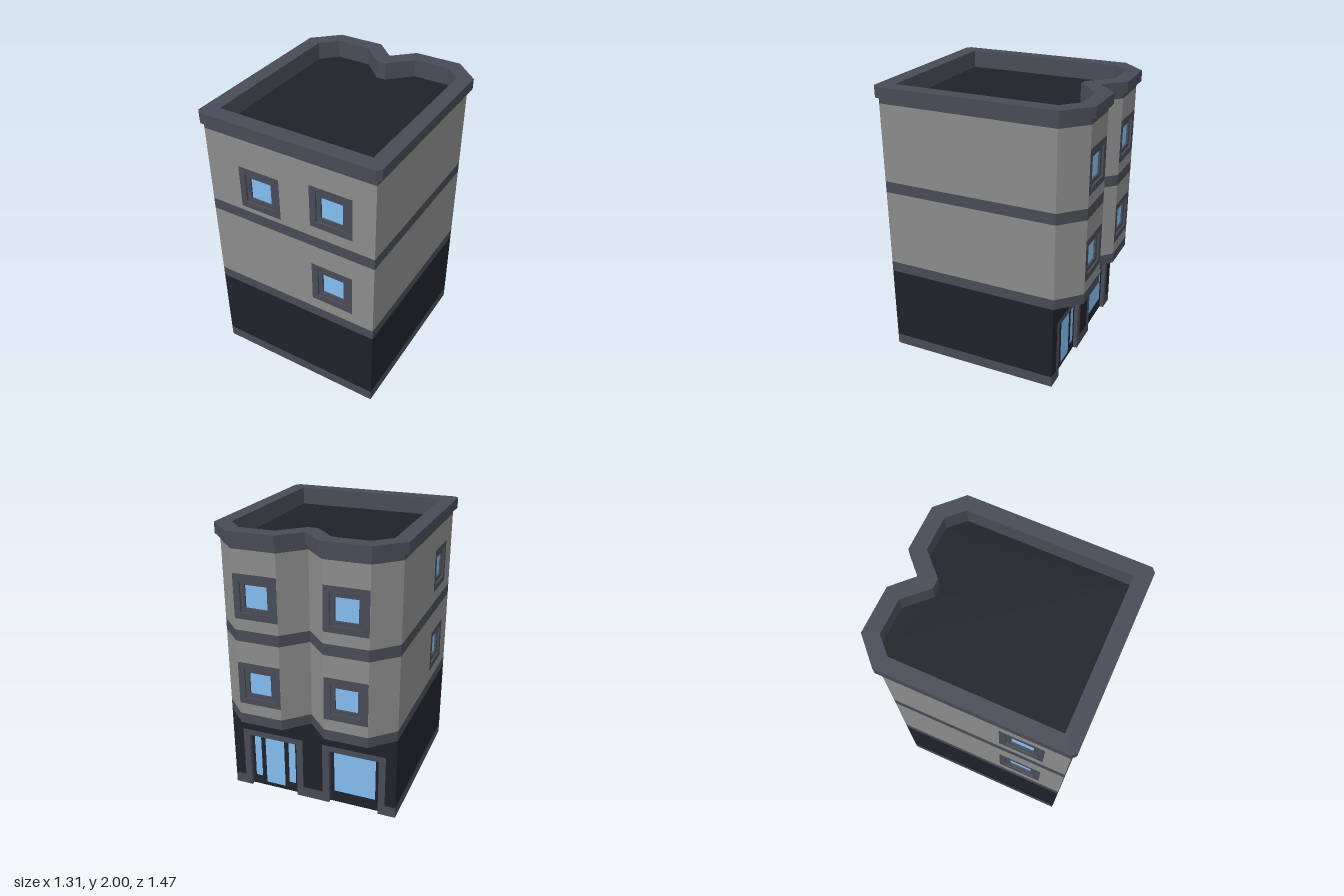
import * as THREE from 'three';

const material = (color) => new THREE.MeshStandardMaterial({ color, flatShading: true });
const WALL = material(0x8b8b8b);
const TRIM = material(0x484b56);
const DARK = material(0x20222a);
const GLASS = material(0x82bdf0);

// Complete an outline from its +x half; runs anticlockwise seen from above.
function mirrored(half) {
  const other = half.filter(([x]) => x > 0).reverse().map(([x, z]) => [-x, z]);
  return [...half, ...other];
}

const HALF = 0.624;
const BASE = mirrored([[HALF, 0.705], [HALF, -0.55]]);
const BAYS = mirrored([[HALF, 0.705], [HALF, -0.55], [0.466, -0.705], [0.155, -0.705], [0, -0.55]]);
const CAP = mirrored([[0.625, 0.733], [0.655, 0.705], [0.655, -0.565], [0.48, -0.735], [0.145, -0.735], [0, -0.595]]);
const INNER = mirrored([[0.55, 0.62], [0.55, -0.52], [0.44, -0.627], [0.19, -0.627], [0.035, -0.473]]);

const toVectors = (points) => points.map((p) => new THREE.Vector2(...p));

function rect(x0, y0, x1, y1, Type = THREE.Shape) {
  return new Type(toVectors([[x0, y0], [x1, y0], [x1, y1], [x0, y1]]));
}

function add(parent, name, geometry, mat) {
  const mesh = new THREE.Mesh(geometry, mat);
  mesh.name = name;
  parent.add(mesh);
  return mesh;
}

// Horizontal sheet from an [x, z] outline, facing up (1) or down (-1).
function sheet(parent, name, outline, y, mat, facing, hole) {
  const flat = (points) => toVectors(points.map(([x, z]) => [x, -z * facing]));
  const shape = new THREE.Shape(flat(outline));
  if (hole) shape.holes = [new THREE.Path(flat(hole))];
  const geometry = new THREE.ShapeGeometry(shape).rotateX(-facing * Math.PI / 2).translate(0, y, 0);
  add(parent, name, geometry, mat);
}

// For each outline edge, a group whose x runs along the edge and z points outward.
function eachEdge(parent, name, outline, build) {
  outline.forEach((a, i) => {
    const b = outline[(i + 1) % outline.length];
    const group = new THREE.Group();
    group.name = name;
    group.position.set(a[0], 0, a[1]);
    group.rotation.y = Math.atan2(a[1] - b[1], b[0] - a[0]);
    parent.add(group);
    build(group, Math.hypot(b[0] - a[0], b[1] - a[1]), i);
  });
}

function panel(group, name, u0, u1, y0, y1, mat, holes = []) {
  const shape = rect(u0, y0, u1, y1);
  shape.holes = holes;
  return add(group, name, new THREE.ShapeGeometry(shape), mat);
}

// Plain band all round an outline.
function band(parent, name, outline, y0, y1) {
  eachEdge(parent, name, outline, (group, width) => panel(group, name + 'Side', 0, width, y0, y1, TRIM));
}

const TRIM_HALF = 0.1545;
const STEP = 0.014;

// Square window set into the wall: flush trim, recessed frame, deeper glass.
function addWindow(parent, u, y) {
  const group = new THREE.Group();
  group.name = 'window';
  group.position.set(u, y, 0);
  parent.add(group);
  const ring = (name, outer, inner, z) => {
    const shape = rect(-outer, -outer, outer, outer);
    shape.holes = [rect(-inner, -inner, inner, inner, THREE.Path)];
    const geometry = new THREE.ExtrudeGeometry(shape, { depth: STEP, bevelEnabled: false });
    add(group, name, geometry.translate(0, 0, z), TRIM);
  };
  ring('windowTrim', TRIM_HALF, 0.11, -STEP);
  ring('windowFrame', 0.111, 0.08, -2 * STEP);
  panel(group, 'windowGlass', -0.08, 0.08, -0.08, 0.08, GLASS).position.z = -2 * STEP;
}

// Recessed shopfront opening reaching the ground; panes are [u0, u1, y0, y1].
function addShopfront(parent, name, u, panes) {
  const group = new THREE.Group();
  group.name = name;
  group.position.x = u;
  parent.add(group);
  const outline = [[-0.235, 0], [-0.185, 0], [-0.185, 0.43], [0.185, 0.43],
    [0.185, 0], [0.235, 0], [0.235, 0.475], [-0.235, 0.475]];
  const shape = new THREE.Shape(toVectors(outline));
  const geometry = new THREE.ExtrudeGeometry(shape, { depth: 0.03, bevelEnabled: false });
  add(group, name + 'Trim', geometry.translate(0, 0, -0.03), TRIM);
  const holes = panes.map(([u0, u1, y0, y1]) => rect(u0, y0, u1, y1, THREE.Path));
  panel(group, name + 'Frame', -0.185, 0.185, 0, 0.43, DARK, holes).position.z = -0.03;
  for (const pane of panes) panel(group, name + 'Glass', ...pane, GLASS).position.z = -0.03;
}

export function createModel() {
  const model = new THREE.Group();
  model.name = 'building';

  // Ground floor with two openings in the back wall
  const doorU = HALF - 0.31, shopU = HALF + 0.31;
  eachEdge(model, 'groundFloorWall', BASE, (group, width, i) => {
    const isBack = i === 1;
    const piers = isBack
      ? [[0, doorU - 0.235], [doorU + 0.235, shopU - 0.235], [shopU + 0.235, width]]
      : [[0, width]];
    for (const [u0, u1] of piers) {
      panel(group, 'plinth', u0, u1, 0, 0.08, TRIM);
      panel(group, 'groundWall', u0, u1, 0.08, 0.475, DARK);
    }
    panel(group, 'lintelWall', 0, width, 0.475, 0.63, DARK);
    if (isBack) {
      addShopfront(group, 'door', doorU, [
        [-0.162, -0.11, 0.075, 0.41], [-0.075, 0.075, 0.03, 0.41], [0.11, 0.162, 0.075, 0.41]]);
      addShopfront(group, 'shopWindow', shopU, [[-0.155, 0.155, 0.09, 0.41]]);
    }
  });

  // Underside, notched at the openings
  const underside = [[-HALF, 0.705], [HALF, 0.705], [HALF, -0.55]];
  for (const x of [0.31, -0.31]) {
    underside.push([x + 0.185, -0.55], [x + 0.185, -0.52], [x - 0.185, -0.52], [x - 0.185, -0.55]);
  }
  underside.push([-HALF, -0.55]);
  sheet(model, 'underside', underside, 0, DARK, -1);

  // Flush bands following the bays, and the undersides of the bays
  band(model, 'lowerBand', BAYS, 0.63, 0.705);
  band(model, 'middleBand', BAYS, 1.25, 1.33);
  band(model, 'topBand', BAYS, 1.88, 1.925);
  sheet(model, 'bayUnderside', BAYS.slice(1, 5), 0.63, TRIM, -1);
  sheet(model, 'bayUnderside', BAYS.slice(4, 8), 0.63, TRIM, -1);

  // Upper floors: window centres [u, y] listed by wall edge
  const sideU = 0.94, frontU = HALF + 0.31;
  const floors = [
    { y0: 0.705, y1: 1.25, y: 0.94, extra: [] },
    { y0: 1.33, y1: 1.88, y: 1.565, extra: [[HALF - 0.225, 1.517]] },
  ];
  for (const { y0, y1, y, extra } of floors) {
    const bay = [[0.1555, y]];
    const windows = { 2: bay, 5: bay, 7: [[sideU, y]], 8: [[frontU, y], ...extra] };
    eachEdge(model, 'upperWall', BAYS, (group, width, i) => {
      const spots = windows[i] ?? [];
      const h = TRIM_HALF;
      const holes = spots.map(([u, v]) => rect(u - h, v - h, u + h, v + h, THREE.Path));
      panel(group, 'wall', 0, width, y0, y1, WALL, holes);
      for (const [u, v] of spots) addWindow(group, u, v);
    });
  }

  // Overhanging parapet cap around the sunken roof
  band(model, 'parapetOutside', CAP, 1.925, 2);
  band(model, 'parapetInside', [...INNER].reverse(), 1.875, 2);
  sheet(model, 'parapetTop', CAP, 2, TRIM, 1, INNER);
  sheet(model, 'parapetSoffit', CAP, 1.925, TRIM, -1, BAYS);
  sheet(model, 'roof', INNER, 1.875, DARK, 1);

  return model;
}
